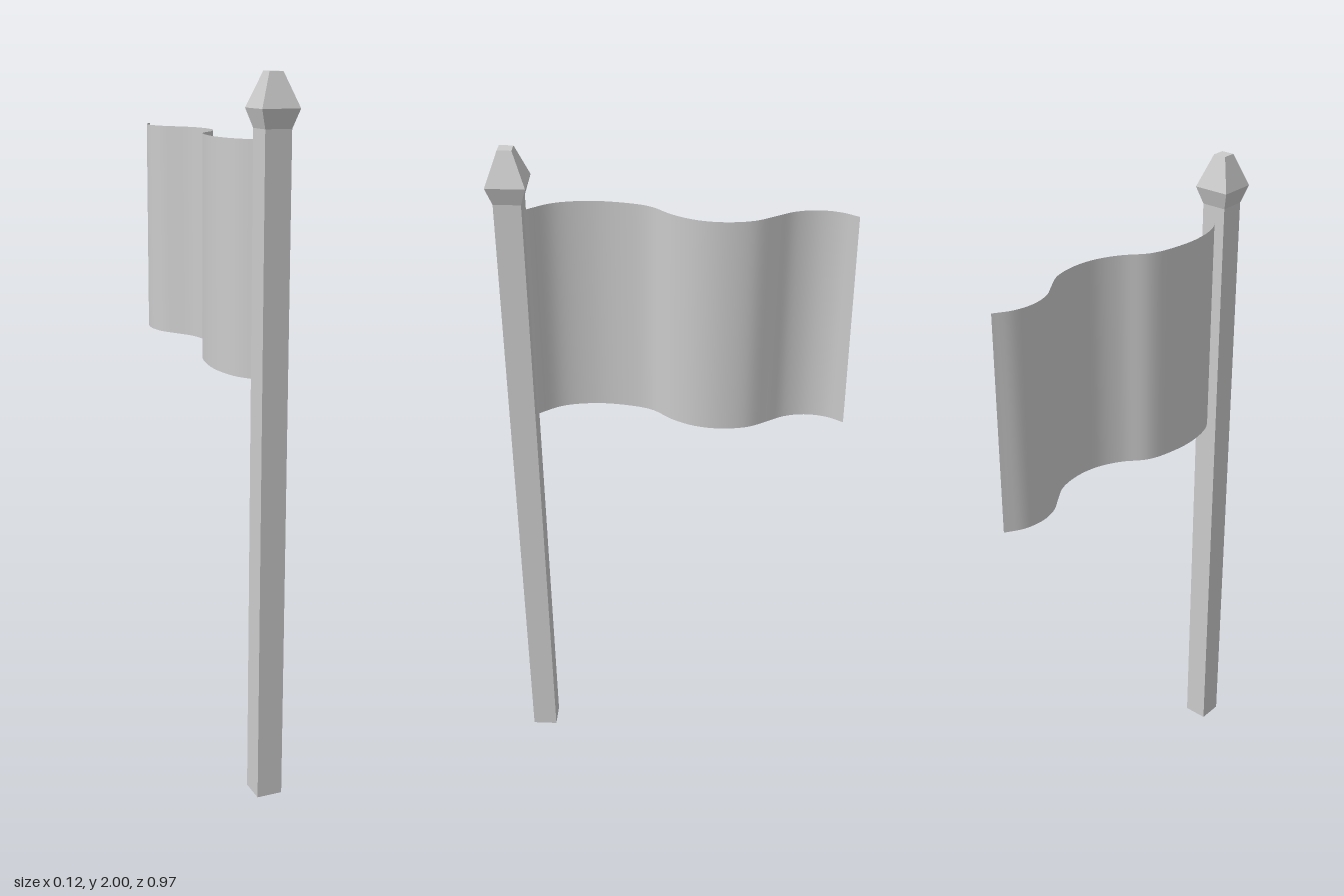
import * as THREE from 'three';

const POLE_X = 0.009, POLE_Z = 0.432;
const POLE_HALF = 0.037, POLE_TOP = 1.86;

// Square solid from [half width, height] pairs listed bottom to top
function squareTurned(name, profile, material) {
  const points = profile.map(([half, y]) => new THREE.Vector2(half * Math.SQRT2, y));
  const geometry = new THREE.LatheGeometry(points, 4, Math.PI / 4);
  const mesh = new THREE.Mesh(geometry, material);
  mesh.name = name;
  mesh.position.set(POLE_X, 0, POLE_Z);
  return mesh;
}

// Thin cloth: a wavy line in plan, carried straight up
function wavyCloth(path, bottom, top, segments) {
  const curve = new THREE.CatmullRomCurve3(path.map(([x, z]) => new THREE.Vector3(x, 0, z)));
  const line = curve.getSpacedPoints(segments);
  const geometry = new THREE.PlaneGeometry(1, 1, segments, 1);
  const position = geometry.attributes.position;
  for (let i = 0; i <= segments; i++) {
    const { x, z } = line[i];
    position.setXYZ(i, x, top, z);
    position.setXYZ(i + segments + 1, x, bottom, z);
  }
  geometry.computeVertexNormals();
  return geometry;
}

export function createModel() {
  const group = new THREE.Group();
  group.name = 'flagOnPole';
  const faceted = new THREE.MeshStandardMaterial({ color: 0xcccccc, flatShading: true });
  const cloth = new THREE.MeshStandardMaterial({ color: 0xcccccc, side: THREE.DoubleSide });

  // Square pole
  group.add(squareTurned('pole', [
    [0, 0], [POLE_HALF, 0], [POLE_HALF, POLE_TOP], [0, POLE_TOP],
  ], faceted));

  // Faceted finial, widest low down with a small flat tip
  group.add(squareTurned('finial', [
    [POLE_HALF, POLE_TOP], [0.053, 1.91], [0.019, 2], [0, 2],
  ], faceted));

  // Waving flag, fixed to the back of the pole
  const flag = new THREE.Mesh(wavyCloth([
    [0.006, 0.396], [-0.043, 0.325], [-0.062, 0.23], [-0.054, 0.135], [-0.033, 0.066],
    [0.018, 0.003], [0.049, -0.06], [0.06, -0.13], [0.048, -0.21], [0.013, -0.27],
    [-0.015, -0.315], [-0.028, -0.375], [-0.018, -0.435], [0.01, -0.484],
  ], 1.2, 1.83, 64), cloth);
  flag.name = 'flag';
  group.add(flag);

  return group;
}
